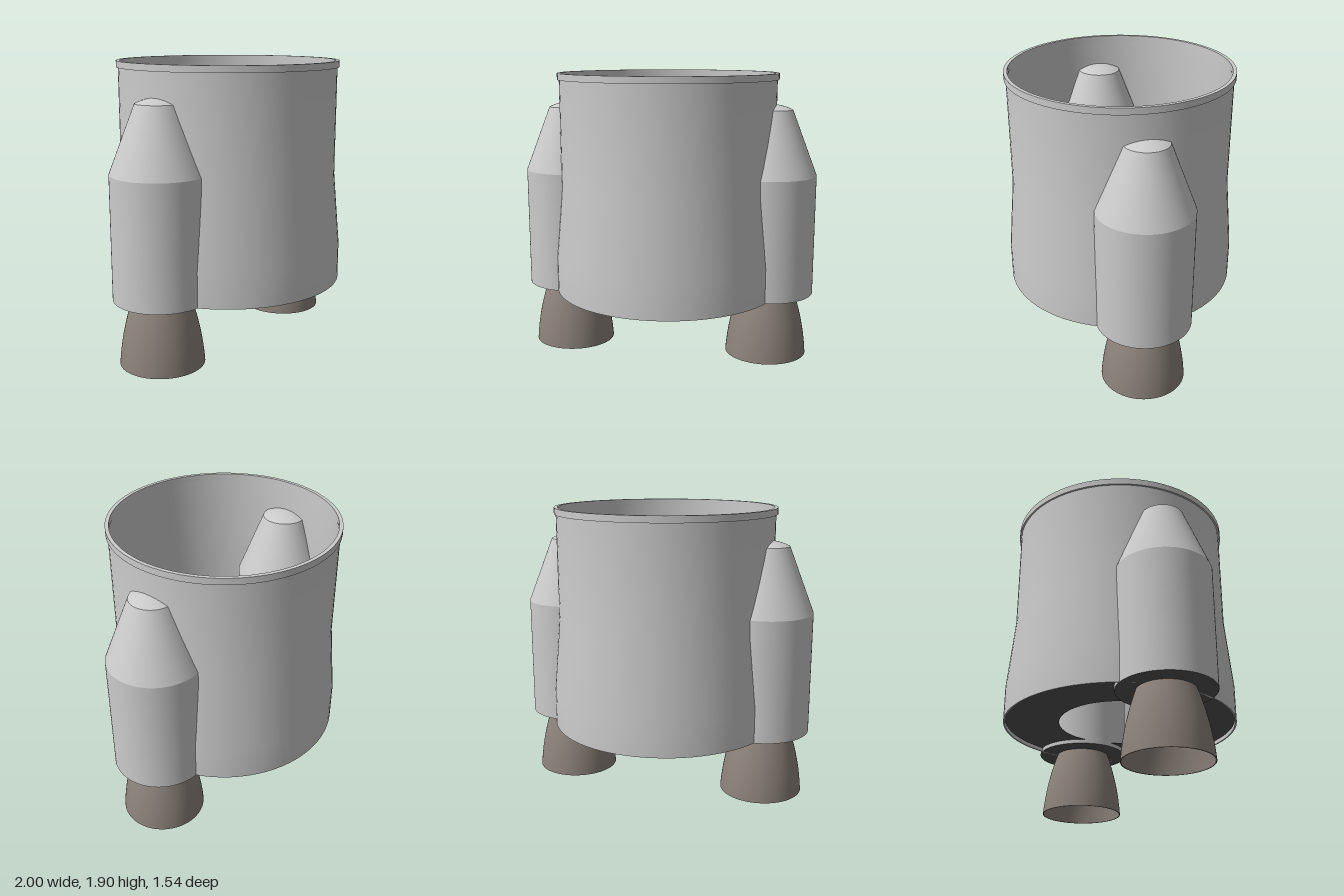
import * as THREE from 'three';
import { toCreasedNormals } from 'three/addons/utils/BufferGeometryUtils.js';

const grey = new THREE.MeshStandardMaterial({ color: 0xcccccc });
const dark = new THREE.MeshStandardMaterial({ color: 0x555555, side: THREE.DoubleSide });
const bronze = new THREE.MeshStandardMaterial({ color: 0x8c827a });

const BASE = 0.435; // underside of hull and pods
const POD_X = 0.69;

// Revolved part from [radius, y] pairs; outlines run up the outside
function lathe(name, pairs, material, crease = 0.25) {
  const points = pairs.map(([r, y]) => new THREE.Vector2(r, y));
  const geometry = toCreasedNormals(new THREE.LatheGeometry(points, 80), crease);
  const mesh = new THREE.Mesh(geometry, material);
  mesh.name = name;
  return mesh;
}

// Flat horizontal ring or disc
function plate(name, inner, outer, y) {
  const geometry = inner > 0
    ? new THREE.RingGeometry(inner, outer, 80)
    : new THREE.CircleGeometry(outer, 80);
  const mesh = new THREE.Mesh(geometry.rotateX(Math.PI / 2), dark);
  mesh.position.y = y;
  mesh.name = name;
  return mesh;
}

function createPod(side) {
  const pod = new THREE.Group();
  pod.name = side > 0 ? 'leftBoosterPod' : 'rightBoosterPod';
  pod.position.x = side * POD_X;

  // Cylinder, tapered shoulder and shallow domed cap
  pod.add(lathe('podBody', [[0.31, BASE], [0.31, 1.24], [0.143, 1.67]], grey));
  const cap = [];
  for (let i = 0; i <= 6; i++) {
    const t = i / 6;
    cap.push([0.143 * (1 - t), 1.67 + 0.035 * (1 - (1 - t) ** 2)]);
  }
  pod.add(lathe('podCap', cap, grey, 0.6));
  pod.add(plate('podBase', 0, 0.31, BASE));

  // Thin open bell, curving in toward the throat
  const bell = [];
  for (let i = 0; i <= 12; i++) {
    const t = i / 12;
    bell.push([0.275 - 0.03 * t - 0.06 * t * t, t * BASE]);
  }
  const inside = bell.map(([r, y]) => [r - 0.006, y]).reverse();
  pod.add(lathe('engineNozzle', [...bell, ...inside, bell[0]], bronze, 0.5));
  return pod;
}

export function createModel() {
  const model = new THREE.Group();
  model.name = 'boosterStage';

  // Hollow hull, flared toward the base
  const outer = [[0.77, BASE], [0.77, 0.67], [0.726, 1.15], [0.726, 1.88]];
  const inner = outer.map(([r, y]) => [r - 0.01, y]).reverse();
  model.add(lathe('hull', [...outer, ...inner, outer[0]], grey, 0.2));

  // Collar around the open top
  model.add(lathe('topCollar', [
    [0.714, 1.862], [0.738, 1.862], [0.738, 1.905], [0.714, 1.905], [0.714, 1.862],
  ], grey));

  // Recessed floor with a large central opening
  model.add(plate('floorRing', 0.405, 0.762, 0.462));

  for (const side of [1, -1]) model.add(createPod(side));
  return model;
}
